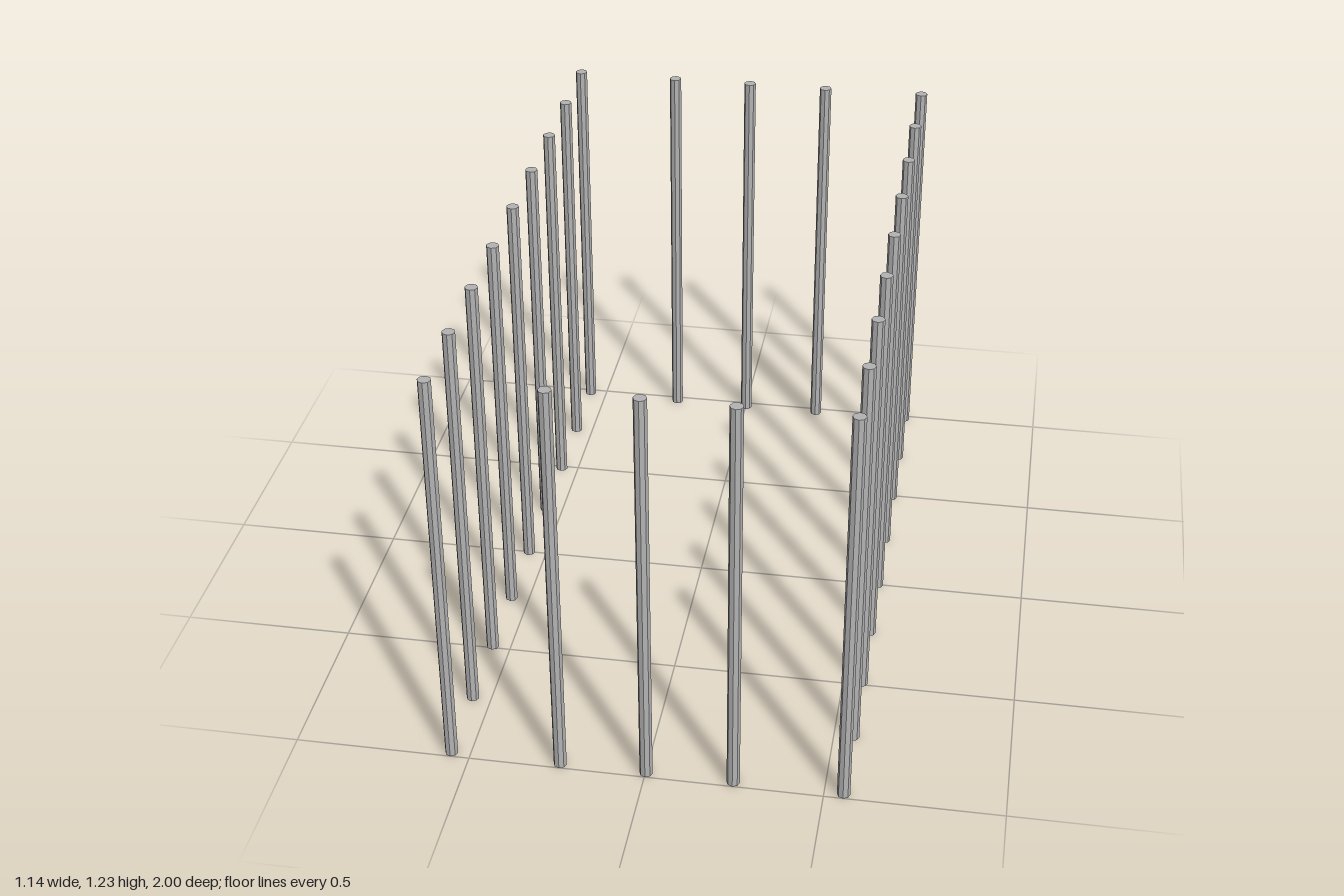
import * as THREE from 'three';

const HEIGHT = 1.226;
const RADIUS = 0.0185;
const HALF_WIDTH = 0.554;
const HALF_DEPTH = 0.982;
const SIDE_COUNT = 9;

export function createModel() {
  const model = new THREE.Group();
  model.name = 'postRectangle';
  const material = new THREE.MeshStandardMaterial({ color: 0xb4b4b4, flatShading: true });
  // Eight-sided post standing on the ground
  const geometry = new THREE.CylinderGeometry(RADIUS, RADIUS, HEIGHT, 8);
  geometry.translate(0, HEIGHT / 2, 0);

  const addPost = (row, name, x, z) => {
    const post = new THREE.Mesh(geometry, material);
    post.name = name;
    post.position.set(x, 0, z);
    row.add(post);
  };
  const addRow = (name) => {
    const row = new THREE.Group();
    row.name = name;
    model.add(row);
    return row;
  };

  // Long side rows, including the corner posts
  for (const [name, side] of [['left', 1], ['right', -1]]) {
    const row = addRow(name + 'Row');
    for (let i = 0; i < SIDE_COUNT; i++) {
      const z = HALF_DEPTH * (1 - (2 * i) / (SIDE_COUNT - 1));
      addPost(row, name + 'Post' + (i + 1), side * HALF_WIDTH, z);
    }
  }

  // Short end rows between the corners; the back ones stand slightly inward
  for (const [name, z] of [['front', HALF_DEPTH], ['back', -0.977]]) {
    const row = addRow(name + 'Row');
    [-0.242, 0.002, 0.247].forEach((x, i) => addPost(row, name + 'Post' + (i + 1), x, z));
  }
  return model;
}
